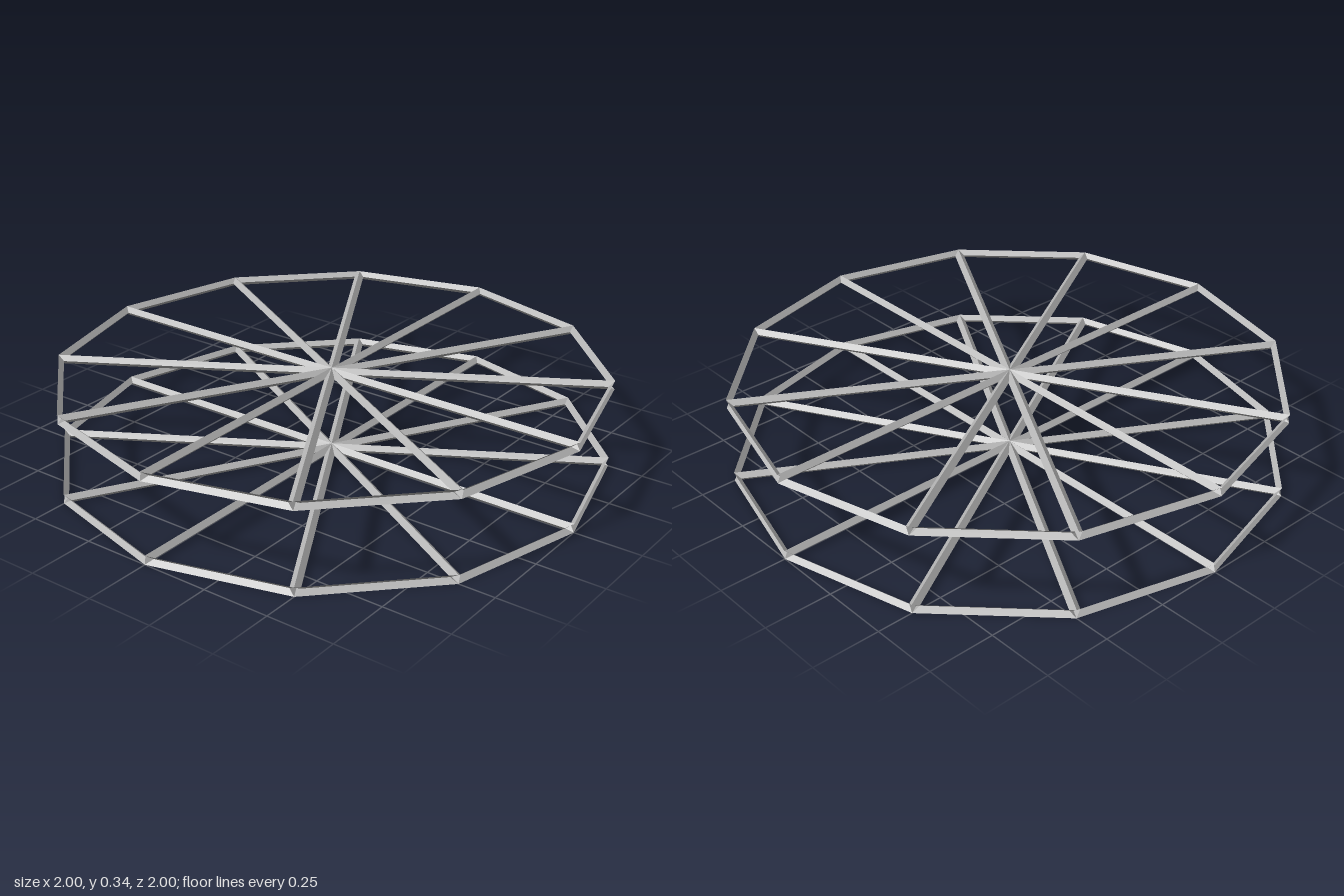
import * as THREE from 'three';

const SECTORS = 12;
const RADIUS = 1;
const HEIGHT = 0.033;   // bar height
const INSET = 0.018;    // how far each bar's ridge leans into its sector
const LEVELS = [0, 0.302];

// One wedge-shaped frame: ridged strips along two spokes and one rim chord.
// Neighbouring wedges meet to form diamond-section spokes; the rim stays an open V.
function sectorGeometry() {
  const step = (Math.PI * 2) / SECTORS;
  const corners = [
    new THREE.Vector3(0, 0, 0),
    new THREE.Vector3(RADIUS, 0, 0),
    new THREE.Vector3(RADIUS * Math.cos(step), 0, RADIUS * Math.sin(step)),
  ];

  // Mitred inset: shrink the triangle about its incentre
  const sides = corners.map((c, i) => corners[(i + 1) % 3].distanceTo(corners[(i + 2) % 3]));
  const perimeter = sides[0] + sides[1] + sides[2];
  const incentre = new THREE.Vector3();
  corners.forEach((c, i) => incentre.addScaledVector(c, sides[i] / perimeter));
  const inradius = (RADIUS * RADIUS * Math.sin(step)) / perimeter;
  const at = (p, y) => new THREE.Vector3(p.x, y, p.z);
  const ridge = corners.map((c) => at(c.clone().lerp(incentre, INSET / inradius), HEIGHT / 2));

  const points = [];
  const quad = (a, b, c, d) => points.push(a, b, c, a, c, d);
  for (let i = 0; i < 3; i++) {
    const j = (i + 1) % 3;
    quad(at(corners[i], HEIGHT), ridge[i], ridge[j], at(corners[j], HEIGHT)); // upper slope
    quad(at(corners[i], 0), at(corners[j], 0), ridge[j], ridge[i]);           // lower slope
  }
  const geometry = new THREE.BufferGeometry().setFromPoints(points);
  geometry.computeVertexNormals();
  return geometry;
}

export function createModel() {
  const model = new THREE.Group();
  model.name = 'doubleSpokedWheel';

  const metal = new THREE.MeshStandardMaterial({ color: 0xb4b4b4, side: THREE.DoubleSide });
  metal.name = 'light grey metal';

  const geometry = sectorGeometry();
  LEVELS.forEach((y, level) => {
    const wheel = new THREE.Group();
    wheel.name = level === 0 ? 'lowerWheel' : 'upperWheel';
    wheel.position.y = y;
    for (let i = 0; i < SECTORS; i++) {
      const sector = new THREE.Mesh(geometry, metal);
      sector.name = `sectorFrame${i + 1}`;
      sector.rotation.y = (i * Math.PI * 2) / SECTORS;
      wheel.add(sector);
    }
    model.add(wheel);
  });
  return model;
}
